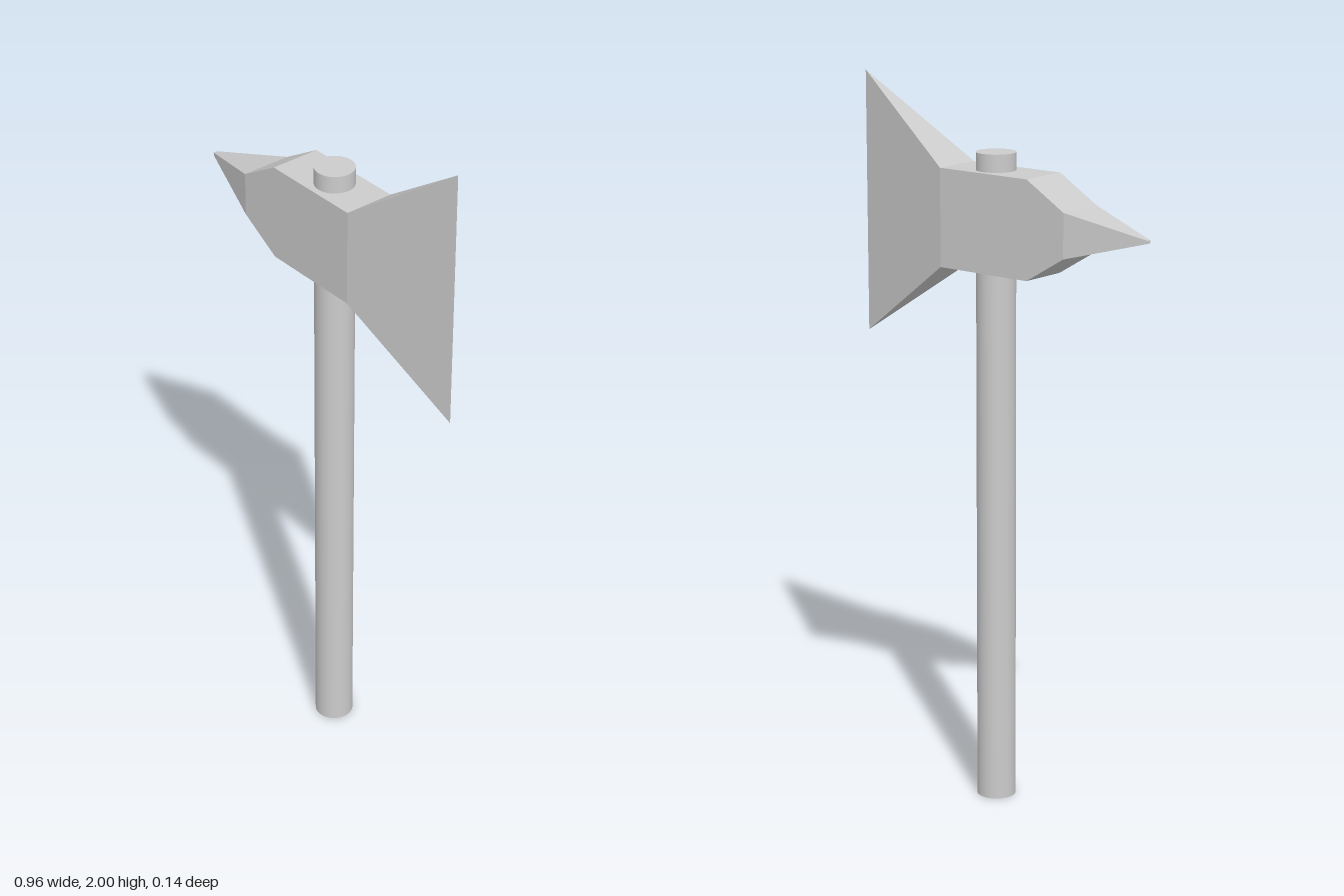
import * as THREE from 'three';

// Lofts rectangular cross-sections [x, low y, high y, half depth] along x.
function loftSections(sections) {
  const points = [];
  const faces = [];
  for (const [x, low, high, half] of sections) {
    points.push(x, low, half, x, high, half, x, high, -half, x, low, -half);
  }
  for (let i = 0; i < sections.length - 1; i++) {
    for (let j = 0; j < 4; j++) {
      const k = (j + 1) % 4;
      const a = i * 4 + j, b = a + 4, c = i * 4 + 4 + k, d = i * 4 + k;
      faces.push(a, b, c, a, c, d);
    }
  }
  // Small flat end at the tip of the spike; the blade closes to an edge.
  faces.push(0, 1, 2, 0, 2, 3);
  const indexed = new THREE.BufferGeometry();
  indexed.setAttribute('position', new THREE.Float32BufferAttribute(points, 3));
  indexed.setIndex(faces);
  const geometry = indexed.toNonIndexed();
  geometry.computeVertexNormals();
  return geometry;
}

export function createModel() {
  const group = new THREE.Group();
  group.name = 'battleAxe';

  // Round shaft, poking slightly out of the head
  const handleHeight = 1.82;
  const handle = new THREE.Mesh(
    new THREE.CylinderGeometry(0.054, 0.054, handleHeight, 32),
    new THREE.MeshStandardMaterial({ color: 0xcccccc })
  );
  handle.name = 'handle';
  handle.position.set(0.02, handleHeight / 2, 0);
  group.add(handle);

  // Head: rear spike, square socket and flared blade
  const head = new THREE.Mesh(
    loftSections([
      [-0.483, 1.634, 1.642, 0.006],
      [-0.262, 1.576, 1.698, 0.071],
      [-0.14, 1.503, 1.772, 0.071],
      [0.155, 1.503, 1.772, 0.071],
      [0.481, 1.273, 2.0, 0],
    ]),
    new THREE.MeshStandardMaterial({ color: 0xcccccc, flatShading: true })
  );
  head.name = 'axeHead';
  group.add(head);

  return group;
}
